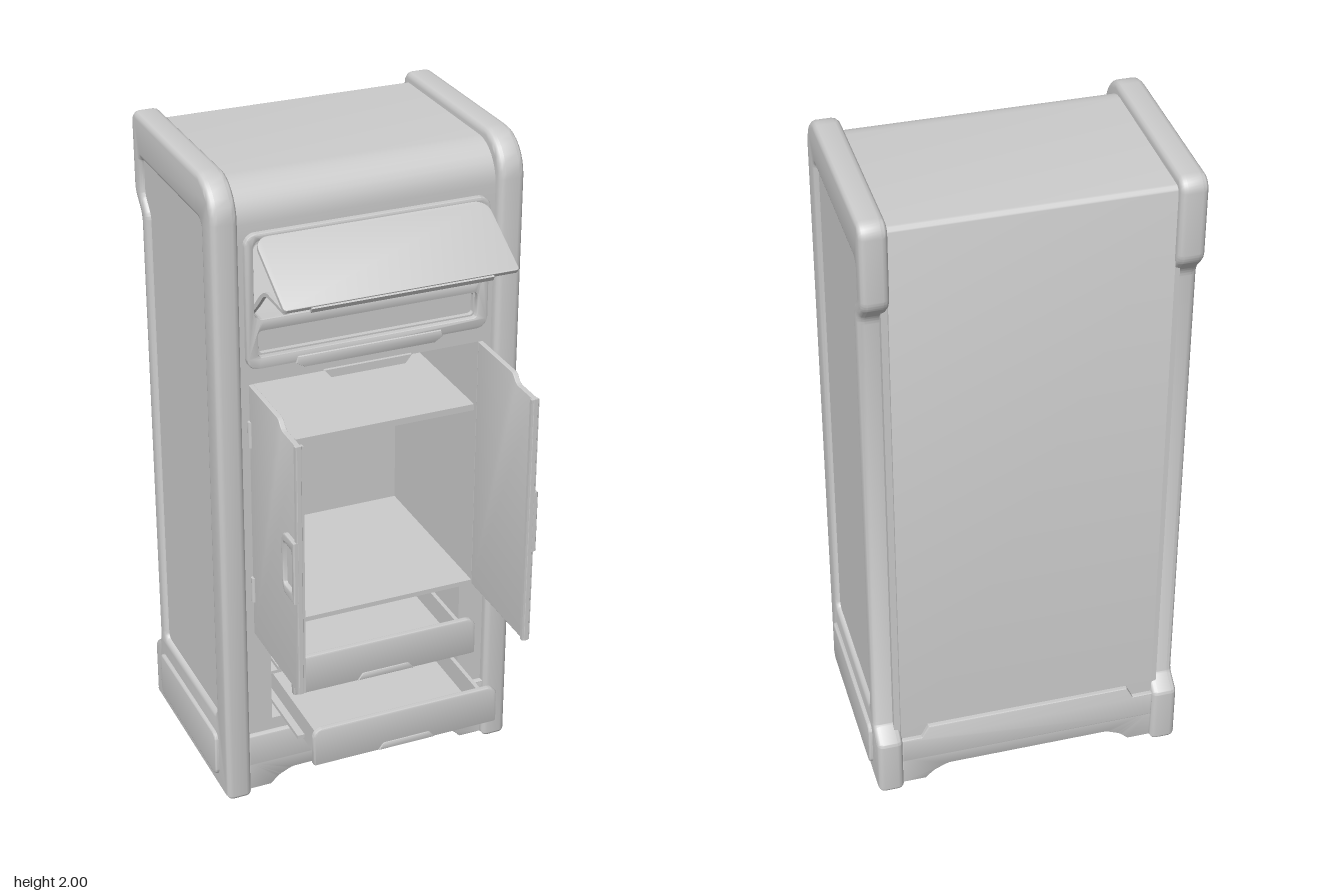
import * as THREE from 'three';
import { toCreasedNormals } from 'three/addons/utils/BufferGeometryUtils.js';

const material = new THREE.MeshStandardMaterial({ color: 0xcccccc });

// Outline through [a, b, radius] corners
function outline(points, Type = THREE.Shape) {
  const path = new Type();
  const n = points.length;
  const toward = (p, q, r) => {
    const k = r / Math.hypot(q[0] - p[0], q[1] - p[1]);
    return [p[0] + (q[0] - p[0]) * k, p[1] + (q[1] - p[1]) * k];
  };
  points.forEach((p, i) => {
    const r = p[2] || 0;
    const start = toward(p, points[(i + n - 1) % n], r);
    const end = toward(p, points[(i + 1) % n], r);
    if (i === 0) path.moveTo(...start);
    else path.lineTo(...start);
    if (r) {
      // cubic handles approximating a circular fillet
      const c1 = toward(start, p, r * 0.55), c2 = toward(end, p, r * 0.55);
      path.bezierCurveTo(...c1, ...c2, ...end);
    }
  });
  path.closePath();
  return path;
}

const rect = (x0, y0, x1, y1, r = 0, Type) =>
  outline([[x0, y0, r], [x1, y0, r], [x1, y1, r], [x0, y1, r]], Type);

// Extrusion that keeps its outline and total depth, centred on depth
function slab(shape, depth, bevel = 0, segments = 2) {
  const g = new THREE.ExtrudeGeometry(shape, {
    depth: depth - 2 * bevel, bevelEnabled: bevel > 0, bevelSize: bevel,
    bevelThickness: bevel, bevelOffset: -bevel, bevelSegments: segments, curveSegments: 8,
  });
  g.translate(0, 0, bevel - depth / 2);
  return toCreasedNormals(g, 0.6);
}

export function createModel() {
  const model = new THREE.Group();
  model.name = 'cabinet';

  const add = (name, geometry, parent = model) => {
    const mesh = new THREE.Mesh(geometry, material);
    mesh.name = name;
    parent.add(mesh);
    return mesh;
  };
  // Box from its limits
  const box = (name, x0, x1, y0, y1, z0, z1, parent) =>
    add(name, new THREE.BoxGeometry(x1 - x0, y1 - y0, z1 - z0)
      .translate((x0 + x1) / 2, (y0 + y1) / 2, (z0 + z1) / 2), parent);
  // (x, y) outline between two z values
  const facing = (name, shape, z0, z1, bevel, parent) =>
    add(name, slab(shape, z1 - z0, bevel).translate(0, 0, (z0 + z1) / 2), parent);
  // (z, y) outline between two x values
  const sideways = (name, shape, x0, x1, bevel, parent) =>
    add(name, slab(shape, x1 - x0, bevel, 3).rotateY(-Math.PI / 2).translate((x0 + x1) / 2, 0, 0), parent);

  // Side walls: bevelled frame, recessed panel, base plaque
  for (const s of [-1, 1]) {
    const wall = new THREE.Group();
    wall.name = s > 0 ? 'leftSide' : 'rightSide';
    model.add(wall);
    const span = (a, b) => (s > 0 ? [a, b] : [-b, -a]);
    const frame = outline([
      [0.17, 0, 0.01], [0.17, 2, 0.12], [-0.49, 2, 0.04], [-0.49, 1.75, 0.02],
      [-0.435, 1.69, 0.02], [-0.435, 0.23, 0.01], [-0.49, 0.19, 0.01], [-0.49, 0, 0.01],
    ]);
    frame.holes.push(outline([
      [0.08, 0.265, 0.02], [0.08, 1.865, 0.02], [-0.425, 1.865, 0.015], [-0.425, 1.755, 0.015],
      [-0.38, 1.705, 0.015], [-0.38, 0.265, 0.02],
    ], THREE.Path));
    sideways('sideFrame', frame, ...span(0.39, 0.468), 0.018, wall);
    sideways('sidePanel', outline([
      [0.1, 0.24], [0.1, 1.89], [-0.44, 1.89], [-0.44, 1.76], [-0.40, 1.7], [-0.40, 0.24],
    ]), ...span(0.4, 0.454), 0, wall);
    sideways('basePlaque', rect(-0.41, 0.045, 0.095, 0.197, 0.025), ...span(0.45, 0.479), 0.006, wall);
    box('backTrim', ...span(0.385, 0.41), 0.2, 1.74, -0.455, -0.42, wall);
  }

  // Roof and back in one bent sheet
  sideways('roofAndBack', outline([
    [-0.465, 0.08], [-0.465, 1.97, 0.02], [0.14, 1.97, 0.11], [0.14, 1.81],
    [0.1, 1.81], [0.1, 1.86], [-0.43, 1.86], [-0.43, 0.08],
  ]), -0.392, 0.392, 0);

  // Front face with cupboard, drawer and flap openings
  const front = rect(-0.392, 0.1, 0.392, 1.85);
  front.holes.push(
    rect(-0.35, 0.575, 0.35, 1.38, 0, THREE.Path),
    rect(-0.31, 0.245, 0.31, 0.56, 0, THREE.Path),
    rect(-0.34, 1.58, 0.34, 1.8, 0.02, THREE.Path),
    rect(-0.33, 1.47, 0.33, 1.54, 0.01, THREE.Path),
  );
  facing('frontFace', front, 0.1, 0.14, 0);

  // Raised bezel round the flap, with a slotted lower panel
  const bezel = rect(-0.37, 1.43, 0.37, 1.835, 0.035);
  bezel.holes.push(
    rect(-0.345, 1.58, 0.345, 1.815, 0.025, THREE.Path),
    rect(-0.335, 1.465, 0.335, 1.545, 0.012, THREE.Path),
  );
  facing('flapBezel', bezel, 0.13, 0.158, 0.005);
  box('slotBack', -0.35, 0.35, 1.45, 1.56, 0.1, 0.125);
  facing('bezelLip', outline([
    [-0.2, 1.415], [0.2, 1.415], [0.225, 1.43], [0.22, 1.45], [-0.22, 1.45], [-0.225, 1.43],
  ]), 0.13, 0.165, 0.004);
  facing('cupboardLip', outline([
    [-0.115, 1.36], [0.115, 1.36], [0.135, 1.385], [-0.135, 1.385],
  ]), 0.12, 0.15, 0);

  // Inner liners and shelves
  for (const s of [-1, 1]) {
    box('innerLiner', s > 0 ? 0.35 : -0.392, s > 0 ? 0.392 : -0.35, 0.2, 1.86, -0.44, 0.11);
    box('drawerLiner', s > 0 ? 0.31 : -0.36, s > 0 ? 0.36 : -0.31, 0.22, 0.56, -0.44, 0.11);
  }
  const shelves = { flapFloor: [1.56, 1.58], cupboardCeiling: [1.38, 1.42], middleShelf: [1.15, 1.17],
    cupboardFloor: [0.56, 0.575], drawerDivider: [0.392, 0.402], drawerFloor: [0.225, 0.245] };
  for (const [name, [y0, y1]] of Object.entries(shelves)) box(name, -0.36, 0.36, y0, y1, -0.44, 0.125);

  // Plinth with stepped front, back strip and feet
  const plinth = outline([
    [-0.392, 0.01], [-0.32, 0.01], [-0.295, 0.035, 0.01], [-0.25, 0.055, 0.01], [0.25, 0.055, 0.01],
    [0.295, 0.035, 0.01], [0.32, 0.01], [0.392, 0.01], [0.392, 0.11], [-0.392, 0.11],
  ]);
  facing('plinth', plinth, -0.475, 0.152, 0.005);
  facing('plinthUpper', outline([
    [-0.392, 0.1], [0.392, 0.1], [0.392, 0.205], [-0.392, 0.205],
  ]), 0.1, 0.158, 0.005);
  facing('plinthBack', outline([
    [-0.392, 0.1], [0.392, 0.1], [0.392, 0.185], [0.33, 0.185], [0.31, 0.225],
    [-0.31, 0.225], [-0.33, 0.185], [-0.392, 0.185],
  ]), -0.48, -0.45, 0.005);

  // Doors standing open, each with handle and hinges
  for (const s of [-1, 1]) {
    const door = new THREE.Group();
    door.name = s > 0 ? 'leftDoor' : 'rightDoor';
    model.add(door);
    const span = (a, b) => (s > 0 ? [a, b] : [-b, -a]);
    sideways('doorPanel', outline([
      [0.145, 0.565], [0.497, 0.565], [0.497, 1.357], [0.39, 1.357, 0.01], [0.365, 1.382, 0.01], [0.145, 1.382],
    ]), ...span(0.348, 0.363), 0.002, door);
    box('doorEdge', ...span(0.342, 0.366), 0.566, 1.356, 0.484, 0.496, door);
    const grip = outline([
      [0.497, 0.865], [0.497, 1.06], [0.42, 1.06, 0.012], [0.405, 1.035, 0.01],
      [0.405, 0.89, 0.01], [0.42, 0.865, 0.012],
    ]);
    grip.holes.push(rect(0.418, 0.895, 0.48, 1.03, 0.01, THREE.Path));
    sideways('doorHandle', grip, ...span(0.358, 0.375), 0.004, door);
    for (const y of [0.72, 1.23]) {
      add('hinge', new THREE.CylinderGeometry(0.009, 0.009, 0.08, 12).translate(s * 0.362, y, 0.152), door);
    }
  }

  // Flap raised on its top hinge, with pull strip and bent stays
  const flap = new THREE.Group();
  flap.name = 'flap';
  model.add(flap);
  const leaf = new THREE.Group();
  leaf.name = 'flapLeaf';
  leaf.position.set(0, 1.825, 0.165);
  leaf.rotation.x = -Math.atan2(0.215, 0.125);
  flap.add(leaf);
  facing('flapPanel', outline([
    [-0.348, -0.25, 0.01], [0.348, -0.25, 0.01], [0.348, 0, 0.04], [-0.348, 0, 0.04],
  ]), -0.007, 0.007, 0.002, leaf);
  box('pullStrip', -0.27, 0.27, -0.256, -0.235, -0.013, 0.003, leaf);
  for (const x of [-0.34, 0.34]) {
    sideways('flapStay', outline([
      [0.375, 1.698], [0.24, 1.702, 0.02], [0.2, 1.675, 0.01], [0.13, 1.605], [0.13, 1.59],
      [0.175, 1.63], [0.235, 1.69, 0.02], [0.375, 1.69],
    ]), x - 0.005, x + 0.005, 0, flap);
  }

  // Two pulled-out drawers
  for (const [name, y, z] of [['upperDrawer', 0.41, 0.285], ['lowerDrawer', 0.258, 0.438]]) {
    const drawer = new THREE.Group();
    drawer.name = name;
    drawer.position.set(0, y, z);
    model.add(drawer);
    facing('drawerFront', outline([
      [-0.296, 0, 0.008], [0.296, 0, 0.008], [0.296, 0.124, 0.03], [-0.296, 0.124, 0.03],
    ]), -0.02, 0, 0.005, drawer);
    facing('drawerPull', outline([
      [-0.09, 0.003], [0.09, 0.003], [0.075, 0.024, 0.006], [-0.075, 0.024, 0.006],
    ]), -0.004, 0.004, 0.002, drawer);
    box('drawerBase', -0.272, 0.272, 0.002, 0.014, -0.56, -0.015, drawer);
    box('drawerBack', -0.272, 0.272, 0.002, 0.085, -0.57, -0.558, drawer);
    box('drawerInnerFront', -0.272, 0.272, 0.002, 0.085, -0.032, -0.015, drawer);
    for (const x of [-0.266, 0.266]) {
      box('drawerSide', x - 0.006, x + 0.006, 0.002, 0.085, -0.56, -0.015, drawer);
      box('drawerRunner', x * 1.06 - 0.012, x * 1.06 + 0.012, 0.012, 0.024, -0.56, -0.13, drawer);
    }
  }

  return model;
}
